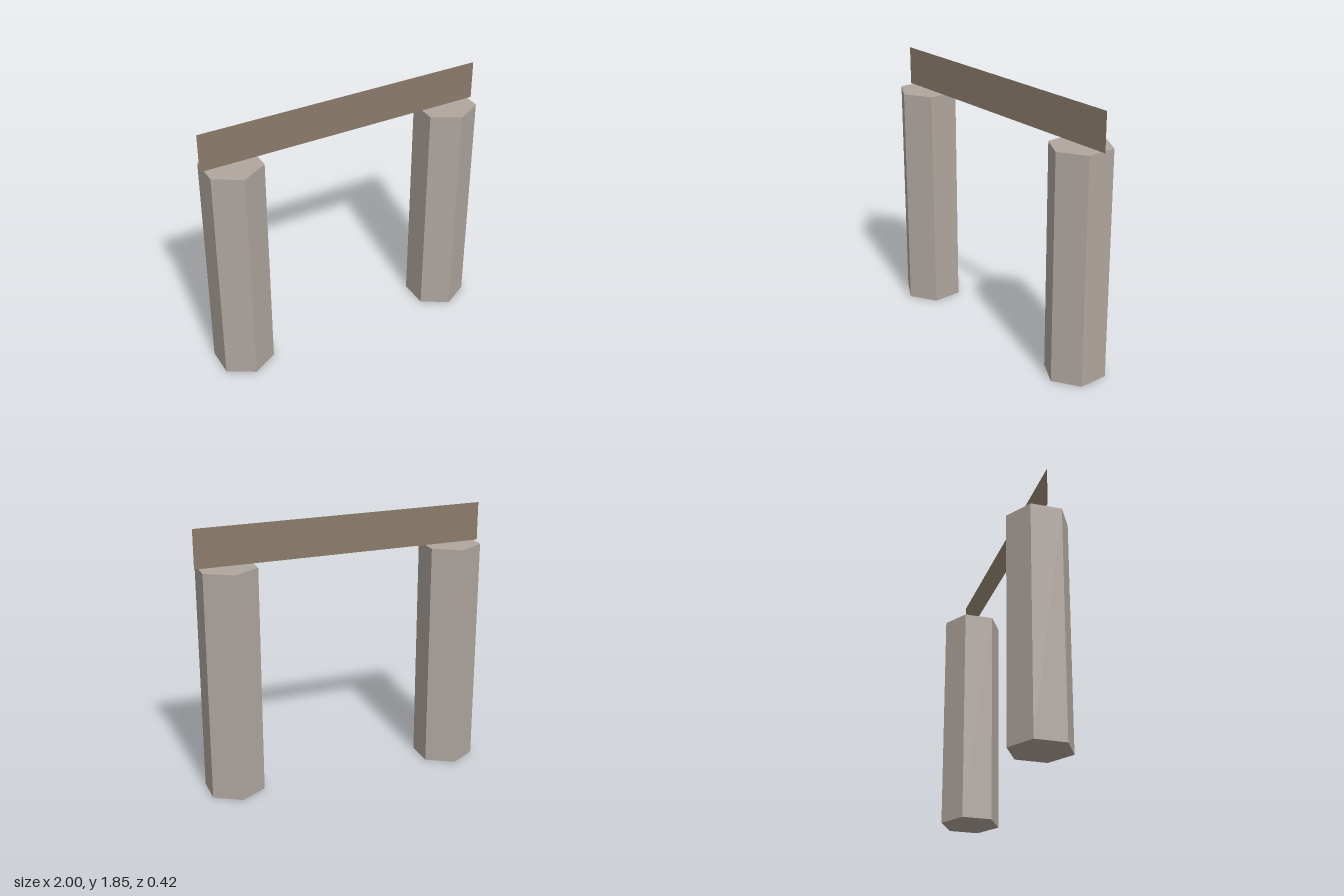
import * as THREE from 'three';

const POST_HEIGHT = 1.585;
const POST_RADIUS = 0.21;
const POST_X = 0.79;
const BANNER_HEIGHT = 0.265;

export function createModel() {
  const gate = new THREE.Group();
  gate.name = 'gate';

  const stone = new THREE.MeshStandardMaterial({ color: 0xb0a69f, flatShading: true });
  const cloth = new THREE.MeshStandardMaterial({ color: 0x8a7a6a, side: THREE.DoubleSide });

  // Two hexagonal posts, each with a corner facing the front
  const postGeometry = new THREE.CylinderGeometry(POST_RADIUS, POST_RADIUS, POST_HEIGHT, 6);
  for (const [name, side] of [['leftPost', 1], ['rightPost', -1]]) {
    const post = new THREE.Mesh(postGeometry, stone);
    post.name = name;
    post.position.set(side * POST_X, POST_HEIGHT / 2, 0);
    gate.add(post);
  }

  // Flat sheet standing on the posts, spanning the full width
  const banner = new THREE.Mesh(new THREE.PlaneGeometry(2, BANNER_HEIGHT), cloth);
  banner.name = 'banner';
  banner.position.y = POST_HEIGHT + BANNER_HEIGHT / 2;
  gate.add(banner);

  return gate;
}
